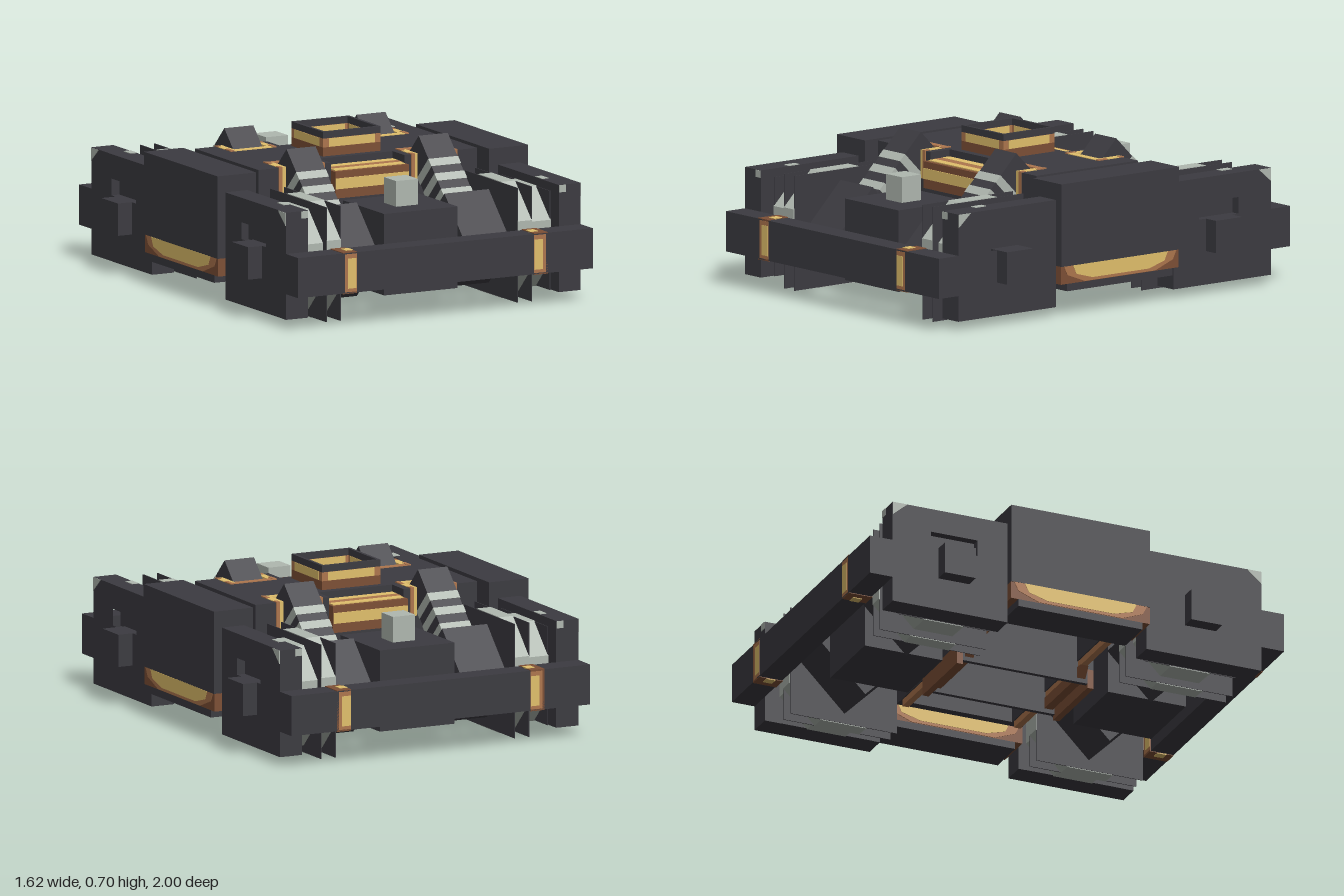
import * as THREE from 'three';

const mat = (name, color) => {
  const m = new THREE.MeshStandardMaterial({ color });
  m.name = name;
  return m;
};

export function createModel() {
  const dark = mat('darkSteel', 0x3c3b41);
  const grey = mat('lightGrey', 0xb0b8b0);
  const gold = mat('gold', 0xe2c06c);
  const copper = mat('copper', 0xae764e);
  const brown = mat('brown', 0x7e5036);
  const root = new THREE.Group();
  root.name = 'railTruck';

  const add = (name, geo, m, parent = root) => {
    const mesh = new THREE.Mesh(geo, m);
    mesh.name = name;
    parent.add(mesh);
    return mesh;
  };
  // box given by its lower and upper corners, in any order
  const box = (name, m, x0, x1, y0, y1, z0, z1, parent = root) => {
    const g = new THREE.BoxGeometry(Math.abs(x1 - x0), Math.abs(y1 - y0), Math.abs(z1 - z0));
    g.translate((x0 + x1) / 2, (y0 + y1) / 2, (z0 + z1) / 2);
    return add(name, g, m, parent);
  };
  const polygon = (pts) => new THREE.Shape(pts.map(([x, y]) => new THREE.Vector2(x, y)));
  // outline of [z, y] points, extruded along x from x0 to x1
  const sidePlate = (name, m, pts, x0, x1, hole) => {
    const shape = polygon(pts.map(([z, y]) => [-z, y]));
    if (hole) shape.holes.push(polygon(hole.map(([z, y]) => [-z, y])));
    const g = new THREE.ExtrudeGeometry(shape, { depth: Math.abs(x1 - x0), bevelEnabled: false });
    g.rotateY(Math.PI / 2).translate(Math.min(x0, x1), 0, 0);
    return add(name, g, m);
  };
  // octagonal disc on the x axis, with a flat on top
  const octagon = (name, m, apothem, x0, x1, z) => {
    const r = apothem / Math.cos(Math.PI / 8);
    const g = new THREE.CylinderGeometry(r, r, Math.abs(x1 - x0), 8).toNonIndexed();
    g.rotateY(Math.PI / 8).rotateZ(Math.PI / 2);
    g.computeVertexNormals();
    return add(name, g.translate((x0 + x1) / 2, 0.26, z), m);
  };

  // bolster deck with damper pockets and spring recesses on both edges
  const edge = [
    [-0.55, 0.29], [-0.445, 0.29], [-0.445, 0.15], [-0.22, 0.15], [-0.22, 0.29], [-0.185, 0.29],
    [-0.185, 0.18], [0.185, 0.18], [0.185, 0.29], [0.22, 0.29], [0.22, 0.15], [0.445, 0.15],
    [0.445, 0.29], [0.55, 0.29],
  ];
  const deck = polygon([...edge, ...edge.map(([x, z]) => [-x, -z])]);
  const deckGeo = new THREE.ExtrudeGeometry(deck, { depth: 0.125, bevelEnabled: false });
  add('bolsterDeck', deckGeo.rotateX(-Math.PI / 2).translate(0, 0.47, 0), dark);
  box('bolsterFloor', dark, -0.55, 0.55, 0.44, 0.47, -0.29, 0.29);
  for (const s of [-1, 1]) {
    box('bolsterSideWall', dark, s * 0.51, s * 0.55, 0.2, 0.44, -0.29, 0.29);
    box('bolsterEndWall', dark, -0.51, 0.51, 0.2, 0.44, s * 0.25, s * 0.29);
    box('bolsterLowerEdge', copper, -0.5, 0.5, 0.17, 0.2, s * 0.255, s * 0.285);

    // belly below the centre, with brown ends and flared feet
    box('bellyEnd', dark, -0.185, 0.185, 0.17, 0.44, s * 0.29, s * 0.33);
    box('bellyLowerEnd', brown, -0.185, 0.185, 0.08, 0.17, s * 0.3, s * 0.33);
    box('bellySide', dark, s * 0.165, s * 0.185, 0.1, 0.44, -0.3, 0.3);
    const foot = polygon([[-0.22, 0.17], [-0.185, 0.12], [0.185, 0.12], [0.22, 0.17]]);
    const fg = new THREE.ExtrudeGeometry(foot, { depth: 0.04, bevelEnabled: false });
    add('bolsterFoot', fg.translate(0, 0, s * 0.27 - 0.02), brown);

    // banded spring pack in the recess
    box('springPack', brown, -0.185, 0.185, 0.44, 0.56, s * 0.18, s * 0.33);
    box('springFaceBand', gold, -0.183, 0.183, 0.482, 0.53, s * 0.328, s * 0.334);
    box('springOuterTopBand', gold, -0.175, 0.175, 0.557, 0.564, s * 0.27, s * 0.31);
    box('springMiddleTopBand', copper, -0.185, 0.185, 0.557, 0.563, s * 0.225, s * 0.27);
    box('springInnerTopBand', gold, -0.185, 0.185, 0.557, 0.564, s * 0.182, s * 0.225);
  }

  // square centre socket of thin walls, banded inside and out
  for (const [y0, y1, m] of [[0.595, 0.635, brown], [0.635, 0.675, copper], [0.675, 0.705, dark]]) {
    for (const s of [-1, 1]) {
      box('socketSide', m, s * 0.131, s * 0.145, y0, y1, -0.145, 0.145);
      box('socketEnd', m, -0.131, 0.131, y0, y1, s * 0.131, s * 0.145);
    }
  }
  for (const s of [-1, 1]) {
    box('socketSideBand', gold, s * 0.129, s * 0.147, 0.636, 0.674, -0.115, 0.115);
    box('socketEndBand', gold, -0.115, 0.115, 0.636, 0.674, s * 0.129, s * 0.147);
  }

  // side panels with a leaf spring drawn on both faces of the lower edge
  for (const s of [-1, 1]) {
    box('sidePanel', dark, s * 0.585, s * 0.78, 0.225, 0.595, -0.335, 0.335);
    box('springCarrier', brown, s * 0.589, s * 0.776, 0.145, 0.225, -0.335, 0.335);
    box('springBase', dark, s * 0.589, s * 0.776, 0.112, 0.145, -0.3, 0.3);
    for (const [face, out] of [[0.776, 1], [0.589, -1]]) {
      const at = (d) => s * (face + out * d);
      sidePlate('leafSpringOuterLeaf', copper,
        [[-0.32, 0.225], [-0.3, 0.185], [-0.2, 0.147], [0.2, 0.147], [0.3, 0.185], [0.32, 0.225]],
        at(-0.001), at(0.003));
      sidePlate('leafSpringInnerLeaf', gold,
        [[-0.27, 0.225], [-0.25, 0.185], [-0.16, 0.16], [0.16, 0.16], [0.25, 0.185], [0.27, 0.225]],
        at(0), at(0.005));
    }
  }

  for (const e of [-1, 1]) {
    // end beam
    box('endBeam', dark, -0.74, 0.74, 0.155, 0.335, e * 0.89, e * 1.0);

    // motor housing and its pin
    box('motorHousing', dark, -0.185, 0.185, 0.08, 0.445, e * 0.4, e * 0.775);
    box('motorPin', grey, -0.055, 0.055, 0.445, 0.56, e * 0.54, e * 0.65);

    for (const s of [-1, 1]) {
      // coloured clamp round the end beam
      box('beamClamp', brown, s * 0.445, s * 0.515, 0.152, 0.338, e * 0.887, e * 1.0);
      box('clampFace', copper, s * 0.445, s * 0.505, 0.16, 0.33, e * 0.885, e * 1.001);
      box('clampFaceBand', gold, s * 0.447, s * 0.49, 0.175, 0.31, e * 0.883, e * 1.002);
      box('clampTopBand', gold, s * 0.445, s * 0.483, 0.149, 0.341, e * 0.922, e * 0.965);

      // side frame with window and journal box
      sidePlate('sideFrame', dark,
        [[e * 0.335, 0.04], [e * 0.89, 0.04], [e * 0.89, 0.52], [e * 0.335, 0.52]],
        s * 0.63, s * 0.74,
        [[e * 0.48, 0.335], [e * 0.705, 0.335], [e * 0.705, 0.41], [e * 0.48, 0.41]]);
      box('frameWindowBack', dark, s * 0.64, s * 0.7, 0.33, 0.415, e * 0.475, e * 0.71);
      box('journalBox', dark, s * 0.7, s * 0.81, 0.19, 0.335, e * 0.52, e * 0.67);

      // worn grey patches on the frame corners
      box('frameTopPatch', grey, s * 0.632, s * 0.665, 0.517, 0.523, e * 0.67, e * 0.73);
      box('frameEndPatch', grey, s * 0.632, s * 0.665, 0.487, 0.519, e * 0.887, e * 0.893);
      sidePlate('frameCornerPatch', grey,
        [[e * 0.889, 0.46], [e * 0.889, 0.519], [e * 0.82, 0.519]], s * 0.738, s * 0.743);

      // wheel, with square dark guard plates against its faces
      octagon('wheelFlange', grey, 0.26, s * 0.445, s * 0.515, e * 0.595);
      octagon('wheelTread', grey, 0.225, s * 0.515, s * 0.628, e * 0.595);
      for (const [x, h] of [[0.445, 0.257], [0.515, 0.257], [0.627, 0.222]])
        box('wheelPlate', dark, s * (x - 0.002), s * (x + 0.002),
          0.26 - h, 0.26 + h, e * 0.594 - h, e * 0.594 + h);

      // axle case, a square bar standing on its edge
      const axle = box('axleCase', dark, -0.1125, 0.1125, -0.148, 0.148, -0.148, 0.148);
      axle.position.set(s * 0.3325, 0.26, e * 0.59);
      axle.rotation.x = Math.PI / 4;

      // lined pocket in the bolster for the damper
      box('pocketInnerSide', gold, s * 0.218, s * 0.25, 0.47, 0.598, e * 0.17, e * 0.292);
      box('pocketOuterSide', gold, s * 0.412, s * 0.447, 0.47, 0.598, e * 0.17, e * 0.292);
      box('pocketBack', e > 0 ? copper : gold, s * 0.235, s * 0.43, 0.47, 0.598, e * 0.147, e * 0.18);
      for (const [x0, x1] of [[0.217, 0.235], [0.43, 0.448]]) {
        box('pocketCorner', copper, s * x0, s * x1, 0.47, 0.6, e * 0.147, e * 0.2);
        box('pocketTrim', copper, s * x0, s * x1, 0.47, 0.599, e * 0.265, e * 0.294);
      }

      // slanted damper with light bands
      const damper = new THREE.Group();
      damper.name = 'damper';
      damper.position.set(s * 0.332, 0.5, e * 0.36);
      damper.rotation.x = e * Math.PI / 4;
      root.add(damper);
      box('damperBody', dark, -0.073, 0.073, -0.07, 0.07, -0.177, 0.177, damper);
      for (const d of [0.147, 0.226, 0.31]) {
        const c = e * (d - 0.177);
        box('damperBand', grey, -0.075, 0.075, -0.072, 0.072, c - 0.02, c + 0.02, damper);
      }
    }
  }
  return root;
}
